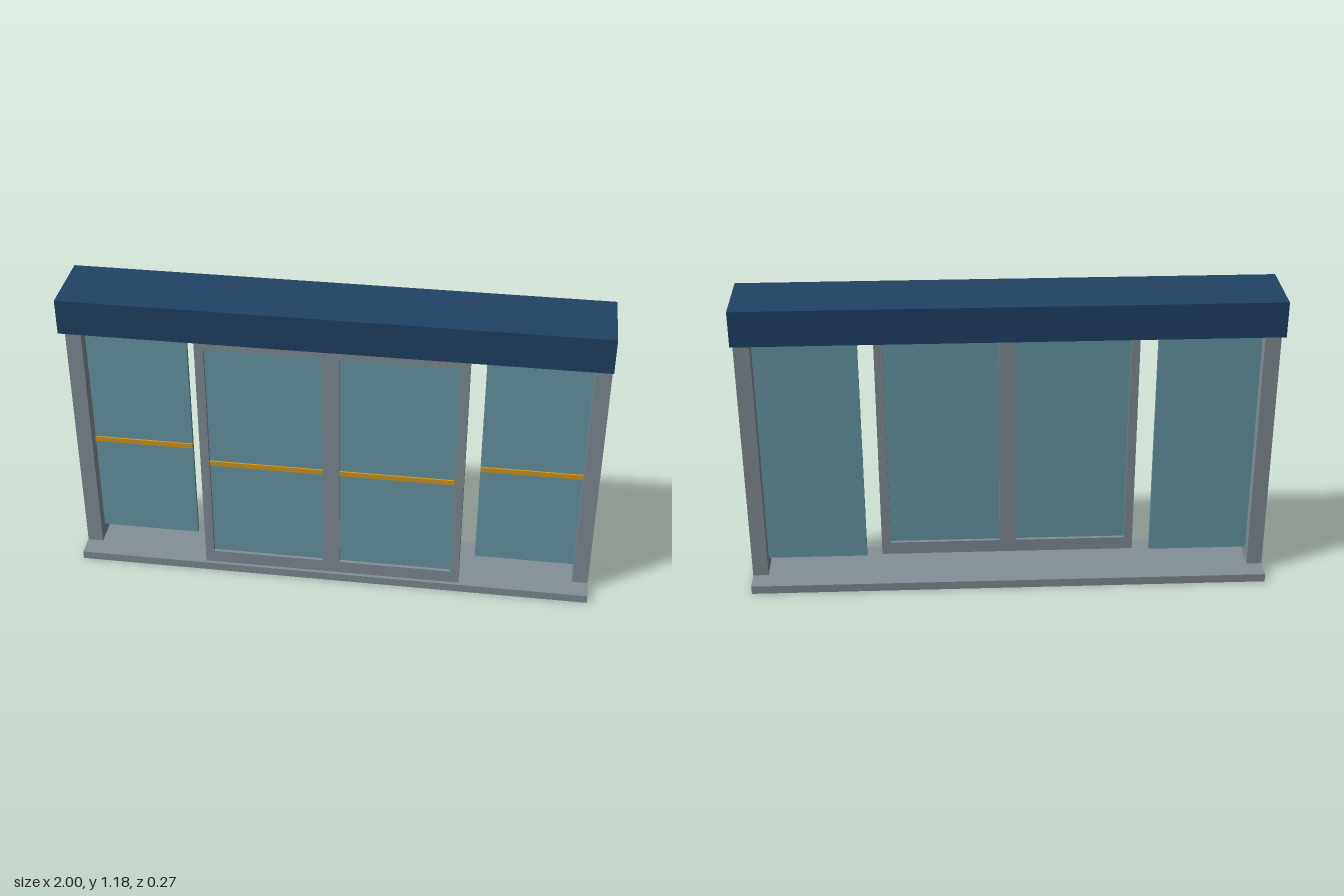
import * as THREE from 'three';

const material = (name, color) => {
  const m = new THREE.MeshStandardMaterial({ color });
  m.name = name;
  return m;
};

// Box given by its [min, max] extent along each axis
function box(name, mat, [x0, x1], [y0, y1], [z0, z1]) {
  const mesh = new THREE.Mesh(new THREE.BoxGeometry(x1 - x0, y1 - y0, z1 - z0), mat);
  mesh.name = name;
  mesh.position.set((x0 + x1) / 2, (y0 + y1) / 2, (z0 + z1) / 2);
  return mesh;
}

export function createModel() {
  const frame = material('aluminium grey', 0x838f97);
  const header = material('navy blue', 0x224265);
  const glass = material('teal glass', 0x6899a6);
  const stripe = material('amber', 0xd6991f);

  const model = new THREE.Group();
  model.name = 'slidingDoor';

  // Threshold and operator housing
  model.add(box('threshold', frame, [-1, 1], [0, 0.033], [-0.135, 0.135]));
  model.add(box('headerHousing', header, [-0.999, 0.999], [1.047, 1.183], [-0.135, 0.135]));

  for (const side of [-1, 1]) {
    const label = side < 0 ? 'right' : 'left';
    const span = (a, b) => (side > 0 ? [a, b] : [-b, -a]);

    // Outer post
    model.add(box(label + 'Post', frame, span(0.94, 1), [0.033, 1.09], [-0.055, 0.055]));

    // Fixed side pane with its safety stripe
    const fixed = new THREE.Group();
    fixed.name = label + 'FixedPane';
    fixed.add(box('fixedGlass', glass, span(0.555, 0.94), [0.083, 1.06], [-0.008, 0.008]));
    fixed.add(box('fixedStripe', stripe, span(0.555, 0.94), [0.495, 0.515], [0.008, 0.014]));
    model.add(fixed);

    // Sliding leaf: stiles, rails, glass and stripe
    const leaf = new THREE.Group();
    leaf.name = label + 'SlidingLeaf';
    const depth = [0.08, 0.122];
    leaf.add(box('innerStile', frame, span(0, 0.032), [0.033, 1.05], depth));
    leaf.add(box('outerStile', frame, span(0.466, 0.5), [0.033, 1.05], depth));
    leaf.add(box('bottomRail', frame, span(0.032, 0.466), [0.033, 0.085], depth));
    leaf.add(box('topRail', frame, span(0.032, 0.466), [1.014, 1.05], depth));
    leaf.add(box('leafGlass', glass, span(0.032, 0.466), [0.085, 1.014], [0.093, 0.109]));
    leaf.add(box('leafStripe', stripe, span(0.032, 0.466), [0.495, 0.515], [0.109, 0.115]));
    model.add(leaf);
  }
  return model;
}
